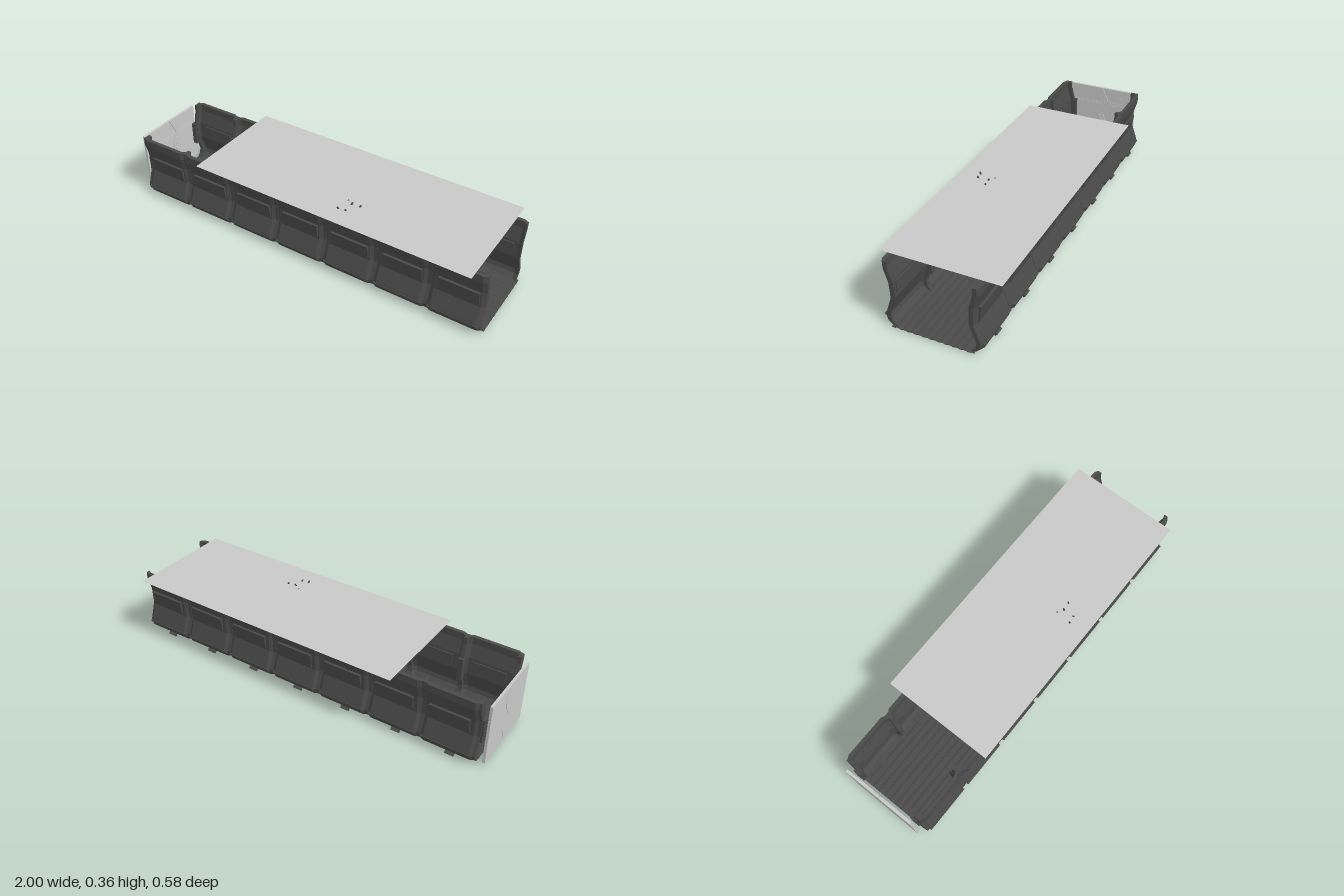
import * as THREE from 'three';

const START = -0.9625, PITCH = 0.28, COUNT = 7, MID_Z = 0.016;

// wall cross-sections as [distance from the centre line, height]
const OUTER = [[0.212, 0.009], [0.234, 0.03], [0.24, 0.053], [0.236, 0.068], [0.208, 0.148], [0.211, 0.238], [0.231, 0.308], [0.231, 0.345]];
const RIB_INNER = [[0.184, 0.345], [0.184, 0.308], [0.168, 0.24], [0.168, 0.12], [0.176, 0.112], [0.192, 0.062], [0.186, 0.031], [0.164, 0.009]];

function extrude(points, depth, steps = 1) {
  const shape = new THREE.Shape(points.map(([a, b]) => new THREE.Vector2(a, b)));
  return new THREE.ExtrudeGeometry(shape, { depth, steps, bevelEnabled: false });
}

export function createModel() {
  const model = new THREE.Group();
  const dark = new THREE.MeshStandardMaterial({ name: 'dark grey metal', color: 0x4a4a4a });
  const light = new THREE.MeshStandardMaterial({ name: 'light grey', color: 0xc8c8c8 });
  const lightSheet = new THREE.MeshStandardMaterial({ name: 'light grey sheet', color: 0xc8c8c8, side: THREE.DoubleSide });

  function add(parent, name, geometry, material, x = 0, y = 0, z = 0) {
    const mesh = new THREE.Mesh(geometry, material);
    mesh.name = name;
    mesh.position.set(x, y, z);
    parent.add(mesh);
    return mesh;
  }

  // curved wall sheet whose two ends bend inwards
  function panelGeometry(length) {
    const inner = OUTER.map(([d, y]) => [d - 0.02, y]).reverse();
    const g = extrude([...OUTER, ...inner], length, 3);
    const p = g.attributes.position;
    for (let i = 0; i < p.count; i++) {
      const t = Math.round(p.getZ(i) / length * 3);
      if (t === 0 || t === 3) p.setX(i, p.getX(i) - 0.012);
      p.setZ(i, [0, 0.02, length - 0.02, length][t] - length / 2);
    }
    g.computeVertexNormals();
    return g;
  }

  // everything on one wall: s = 1 front, s = -1 back
  function buildWall(s) {
    const wall = new THREE.Group();
    wall.name = s > 0 ? 'frontWall' : 'backWall';
    wall.position.z = MID_Z;
    model.add(wall);
    const turn = g => g.rotateY(-s * Math.PI / 2);

    const panel = turn(panelGeometry(PITCH - 0.014));
    const ribLoop = [...OUTER.map(([d, y]) => [d - 0.009, y]), ...RIB_INNER];
    const rib = turn(extrude(ribLoop, 0.018).translate(0, 0, -0.009));
    // slanted plates around the waist, outside and inside
    const cover = turn(extrude([[0.205, 0.157], [0.213, 0.157], [0.223, 0.233], [0.208, 0.233]], 0.198).translate(0, 0, -0.099));
    const inset = turn(extrude([[0.19, 0.165], [0.183, 0.165], [0.185, 0.225], [0.193, 0.225]], 0.18).translate(0, 0, -0.09));
    const rail = turn(extrude([[0.23, 0.04], [0.2415, 0.05], [0.2415, 0.056], [0.232, 0.06]], 0.25).translate(0, 0, -0.125));
    const block = new THREE.BoxGeometry(0.024, 0.125, 0.038);

    for (let i = 0; i < COUNT; i++) {
      const x0 = START + i * PITCH, xc = x0 + PITCH / 2;
      add(wall, 'wallPanel', panel, dark, xc);
      add(wall, 'outerCover', cover, dark, x0 + 0.147);
      add(wall, 'innerCover', inset, dark, x0 + 0.147);
      add(wall, 'lowerRail', rail, dark, xc);
      add(wall, 'wallRib', rib, dark, i ? x0 : x0 + 0.01);
      add(wall, 'ribBlock', block, dark, i ? x0 : x0 + 0.002, 0.1745, s * 0.175);
    }
  }
  buildWall(1);
  buildWall(-1);

  // clips along the lower edge of the back wall
  for (let i = 0; i < COUNT; i++) {
    const x = START + 0.122 + i * PITCH;
    const clip = add(model, 'edgeClip', new THREE.BoxGeometry(0.043, 0.015, 0.019), dark, x, 0.0123, -0.209);
    clip.rotation.x = -Math.PI / 4;
    add(model, 'clipBase', new THREE.BoxGeometry(0.043, 0.008, 0.06), dark, x, 0.014, -0.16);
  }

  // corrugated floor with ridges running lengthwise
  const top = [], bottom = [];
  const RIDGES = 11, W = 0.4;
  for (let i = 0; i < RIDGES; i++) {
    const z = MID_Z - W / 2 + i * W / RIDGES, w = W / RIDGES;
    for (const [t, y] of [[0, 0.011], [0.4, 0.011], [0.5, 0.008], [0.9, 0.008]]) {
      top.push([z + t * w, y]);
      bottom.push([z + t * w, y - 0.003]);
    }
  }
  top.push([MID_Z + W / 2, 0.011]);
  bottom.push([MID_Z + W / 2, 0.008]);
  const floor = extrude([...bottom, ...top.reverse()], 1.9625).rotateY(-Math.PI / 2);
  add(model, 'floor', floor, dark, 1);

  // ceiling sheet
  const sheet = new THREE.PlaneGeometry(1.495, 0.58).rotateX(-Math.PI / 2);
  add(model, 'ceiling', sheet, lightSheet, 0.1875, 0.349, 0);

  // door leaves meeting in a zigzag seam
  const seam = [[0.018, 0.01], [-0.021, 0.088], [0.014, 0.167], [-0.021, 0.245], [0.018, 0.327]];
  const leaf = (edge, gap) => {
    const line = seam.map(([z, y]) => [z + gap, y]);
    const loop = [...line, [edge, 0.327], [edge, 0.01]];
    return extrude(gap > 0 ? loop.reverse() : loop, 0.013).rotateY(-Math.PI / 2);
  };
  add(model, 'leftDoorLeaf', leaf(0.208, 0.002), light, -0.987);
  add(model, 'rightDoorLeaf', leaf(-0.18, -0.002), light, -0.987);

  // stacked raised panels on the inner door face
  const chevron = (edge, zEnd, zMid, h) => extrude(
    [[edge, 0.167 - h], [zEnd, 0.167 - h], [zMid, 0.167], [zEnd, 0.167 + h], [edge, 0.167 + h]], 0.0015).rotateY(-Math.PI / 2);
  [[0.19, -0.008, 0.024, 0.074], [0.185, 0.0, 0.034, 0.066], [0.18, 0.006, 0.042, 0.059]].forEach((c, i) =>
    add(model, 'leftDoorPanel', chevron(...c), light, -0.9855 + i * 0.0015));
  [[-0.16, -0.025, 0.0, 0.075], [-0.155, -0.035, -0.01, 0.068], [-0.15, -0.045, -0.016, 0.057]].forEach((c, i) =>
    add(model, 'rightDoorPanel', chevron(...c), light, -0.9855 + i * 0.0015));
  // thin backing behind the seam
  add(model, 'doorBacking', new THREE.BoxGeometry(0.004, 0.317, 0.388), light, -0.994, 0.1685, 0.014);

  // cables drooping through the ceiling: [x at both ends, z at both ends, lowest height, end heights]
  const cables = [
    [0.212, 0.252, 0.194, 0.126, 0.312, 0.356, 0.356],
    [0.25, 0.294, 0.187, 0.122, 0.302, 0.354, 0.354],
    [0.18, 0.22, 0.203, 0.11, 0.272, 0.315, 0.347],
  ];
  for (const [xa, xb, za, zb, low, ya, yb] of cables) {
    const at = (t, y) => new THREE.Vector3(xa + (xb - xa) * t, y, za + (zb - za) * t);
    const curve = new THREE.CatmullRomCurve3([
      at(0, ya), at(0.3, low + 0.008), at(0.5, low), at(0.68, low + 0.01), at(1, yb)]);
    add(model, 'cable', new THREE.TubeGeometry(curve, 20, 0.0045, 8), dark);
    for (const t of [0, 1]) add(model, 'cableEnd', new THREE.SphereGeometry(0.0045, 8, 6), dark, ...curve.getPoint(t).toArray());
  }

  return model;
}
